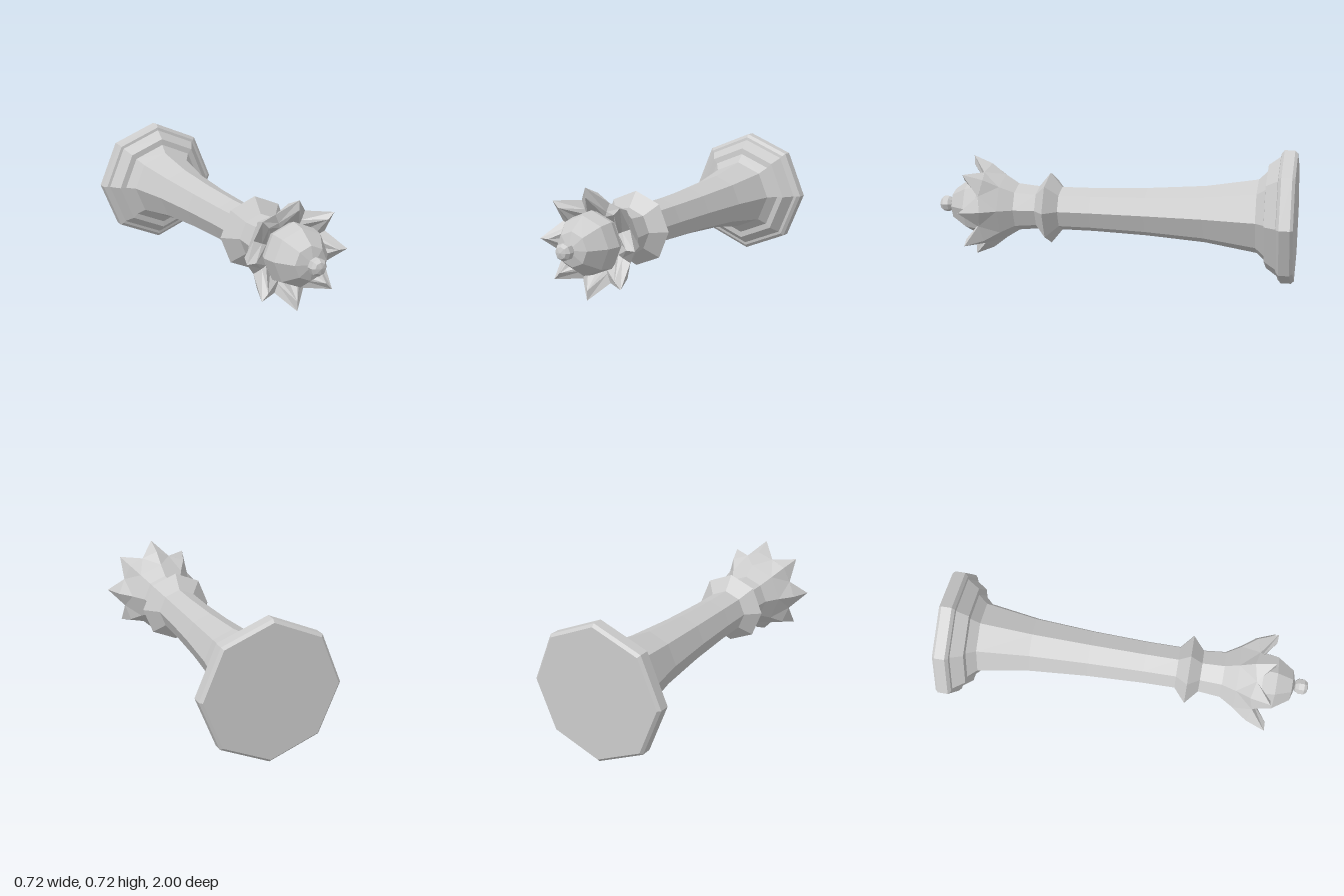
import * as THREE from 'three';

const SIDES = 8;
const MID = Math.cos(Math.PI / SIDES); // radius of an octagon at the middle of a side

const material = new THREE.MeshStandardMaterial({ color: 0xcccccc, flatShading: true });

// Turned eight-sided part from [radius, height] pairs, bottom to top
function turned(name, profile) {
  const points = profile.map(([r, y]) => new THREE.Vector2(r, y));
  const mesh = new THREE.Mesh(new THREE.LatheGeometry(points, SIDES), material);
  mesh.name = name;
  return mesh;
}

// Loops of 16 points alternating between a tooth corner and a valley
// Each ring: [cornerRadius, cornerHeight, valleyRadius, valleyHeight]
function toothed(name, rings) {
  const n = SIDES * 2;
  const positions = [];
  const index = [];
  rings.forEach(([rc, yc, rv, yv], j) => {
    for (let i = 0; i < n; i++) {
      const a = (i / n) * Math.PI * 2;
      const r = i % 2 ? rv : rc;
      positions.push(r * Math.sin(a), i % 2 ? yv : yc, r * Math.cos(a));
      if (j === 0) continue;
      const next = (i + 1) % n;
      const p = (j - 1) * n + i, q = (j - 1) * n + next;
      const s = j * n + i, t = j * n + next;
      // Split each quad so that creases run symmetrically from the tooth corners
      if (i % 2) index.push(p, q, s, q, t, s);
      else index.push(p, q, t, p, t, s);
    }
  });
  const geometry = new THREE.BufferGeometry();
  geometry.setAttribute('position', new THREE.Float32BufferAttribute(positions, 3));
  geometry.setIndex(index);
  geometry.computeVertexNormals();
  const mesh = new THREE.Mesh(geometry, material);
  mesh.name = name;
  return mesh;
}

export function createModel() {
  const piece = new THREE.Group();
  piece.name = 'chessQueen';

  // Stepped foot
  piece.add(turned('base', [
    [0, -1], [0.345, -1], [0.36, -0.985], [0.36, -0.93], [0.342, -0.915],
    [0.325, -0.912], [0.28, -0.85], [0.245, -0.847], [0.2, -0.8],
  ]));

  // Tapering column
  piece.add(turned('stem', [
    [0.2, -0.8], [0.155, -0.52], [0.132, -0.2], [0.121, 0.1], [0.12, 0.28],
  ]));

  // Ring and neck
  piece.add(turned('collar', [[0.12, 0.28], [0.198, 0.345], [0.12, 0.41]]));
  piece.add(turned('neck', [[0.12, 0.41], [0.132, 0.53]]));

  // Flared crown with eight teeth, hollow inside
  piece.add(toothed('crown', [
    [0.132, 0.53, 0.132 * MID, 0.53],
    [0.18, 0.607, 0.18 * MID, 0.607],
    [0.24, 0.685, 0.217, 0.705],
    [0.282, 0.79, 0.217, 0.706],
    [0.233, 0.79, 0.168, 0.706],
    [0.15, 0.7, 0.15 * MID, 0.7],
    [0, 0.7, 0, 0.7],
  ]));

  // Domed head
  piece.add(turned('dome', [
    [0.14, 0.68], [0.163, 0.74], [0.15, 0.815], [0.088, 0.905], [0, 0.93],
  ]));

  // Knob on the dome
  piece.add(turned('finial', [
    [0, 0.92], [0.03, 0.928], [0.044, 0.946], [0.044, 0.976], [0.03, 0.993], [0, 1],
  ]));

  // Lay the piece down with its head to the front
  piece.rotation.x = Math.PI / 2;
  piece.position.y = 0.36;

  const model = new THREE.Group();
  model.add(piece);
  return model;
}
